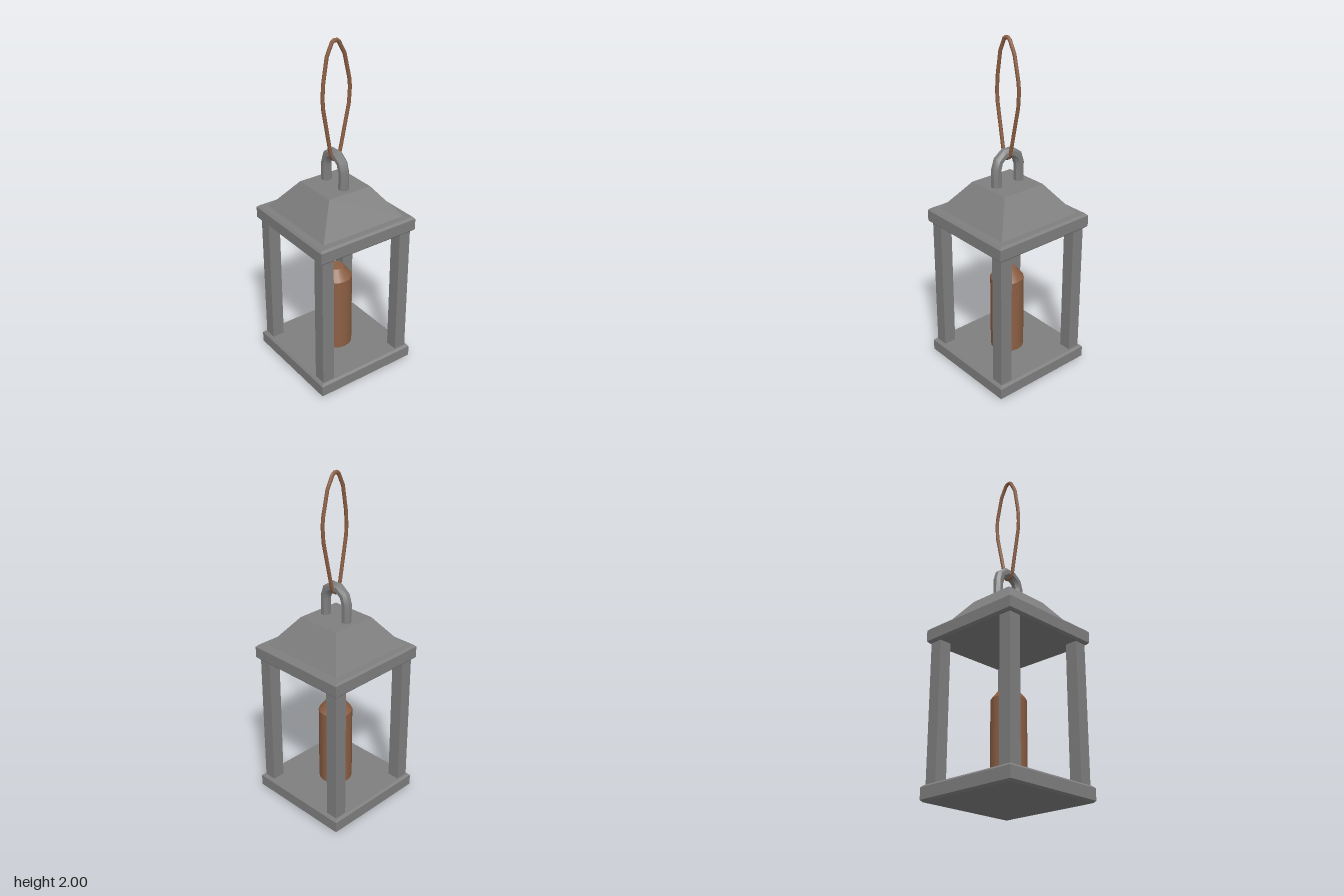
import * as THREE from 'three';

const GREY = 0x7f7f7f;
const metal = new THREE.MeshStandardMaterial({ color: GREY, flatShading: true });
const smoothMetal = new THREE.MeshStandardMaterial({ color: GREY });
const brown = new THREE.MeshStandardMaterial({ color: 0x8c5f44 });

function add(parent, name, geometry, material, x = 0, y = 0, z = 0) {
  const mesh = new THREE.Mesh(geometry, material);
  mesh.name = name;
  mesh.position.set(x, y, z);
  parent.add(mesh);
  return mesh;
}

// Square solid from a profile of [half width, height], closed top and bottom
function squareSolid(profile) {
  const pts = [[0, profile[0][1]], ...profile, [0, profile.at(-1)[1]]];
  return new THREE.LatheGeometry(
    pts.map(([w, y]) => new THREE.Vector2(w * Math.SQRT2, y)), 4, Math.PI / 4);
}

// Slab with bevelled upper and lower rims
function slab(half, height, bevel) {
  return squareSolid([[half - bevel, 0], [half, bevel], [half, height - bevel], [half - bevel, height]]);
}

// Eight-sided rod along a flat path in the xy plane, mitred at each bend.
// A faceted rod keeps its long edges sharp but is smooth along its length.
function rod(path, radius, { closed = false, faceted = false }) {
  const sides = 8;
  const pts = path.map(([x, y]) => new THREE.Vector2(x, y));
  const n = pts.length;
  const step = faceted ? 2 : 1;
  const columns = sides * step;
  const positions = [], index = [];
  for (let i = 0; i < n; i++) {
    const prev = closed ? pts[(i + n - 1) % n] : pts[Math.max(i - 1, 0)];
    const next = closed ? pts[(i + 1) % n] : pts[Math.min(i + 1, n - 1)];
    let d1 = pts[i].clone().sub(prev), d2 = next.clone().sub(pts[i]);
    if (d1.length() === 0) d1 = d2.clone();
    if (d2.length() === 0) d2 = d1.clone();
    d1.normalize();
    d2.normalize();
    const t = d1.clone().add(d2).normalize();
    const stretch = 1 / t.dot(d1);
    for (let j = 0; j < columns; j++) {
      const corner = faceted ? Math.ceil(j / 2) : j;
      const a = (corner + 0.5) / sides * Math.PI * 2;
      const out = Math.cos(a) * radius * stretch;
      positions.push(pts[i].x - t.y * out, pts[i].y + t.x * out, Math.sin(a) * radius);
    }
  }
  for (let i = 0; i < (closed ? n : n - 1); i++) {
    for (let j = 0; j < columns; j += step) {
      const k = (j + 1) % columns, m = (i + 1) % n;
      const a = i * columns + j, b = i * columns + k, c = m * columns + j, d = m * columns + k;
      index.push(a, b, c, b, d, c);
    }
  }
  const geometry = new THREE.BufferGeometry();
  geometry.setAttribute('position', new THREE.Float32BufferAttribute(positions, 3));
  geometry.setIndex(index);
  geometry.computeVertexNormals();
  return geometry;
}

export function createModel() {
  const lantern = new THREE.Group();
  lantern.name = 'lantern';

  // Frame: two slabs joined by four corner posts
  add(lantern, 'base', slab(0.325, 0.09, 0.012), metal);
  add(lantern, 'topPlate', slab(0.325, 0.09, 0.012), metal, 0, 0.9, 0);
  const postGeometry = new THREE.BoxGeometry(0.075, 0.82, 0.075);
  for (const [x, xName] of [[1, 'Left'], [-1, 'Right']]) {
    for (const [z, zName] of [[1, 'front'], [-1, 'back']]) {
      add(lantern, `${zName}${xName}Post`, postGeometry, metal, x * 0.268, 0.495, z * 0.268);
    }
  }

  // Sloping roof with a flat top
  add(lantern, 'roof', squareSolid([[0.278, 0.985], [0.14, 1.165]]), metal);

  // Hanging ring: two legs and a five-segment arch, octagonal bar
  const arch = [[0.082, 1.15]];
  for (let i = 0; i <= 5; i++) {
    const a = i / 5 * Math.PI;
    arch.push([0.082 * Math.cos(a), 1.267 + 0.083 * Math.sin(a)]);
  }
  arch.push([-0.082, 1.15]);
  add(lantern, 'ring', rod(arch, 0.0303, { faceted: true }), smoothMetal, -0.001, 0, 0);

  // Cord loop threaded through the ring, listed counter-clockwise from the bottom
  const loop = [
    [0, 1.315], [0.018, 1.325], [0.032, 1.36], [0.08, 1.63], [0.083, 1.69], [0.078, 1.77], [0.055, 1.91],
    [0.023, 1.98], [0.01, 1.99], [-0.01, 1.99], [-0.023, 1.98], [-0.06, 1.91],
    [-0.092, 1.77], [-0.097, 1.72], [-0.091, 1.63], [-0.032, 1.36], [-0.018, 1.325],
  ];
  const cord = add(lantern, 'hangingLoop', rod(loop, 0.011, { closed: true }), brown, 0.003, 0, 0);
  cord.rotation.y = -Math.PI / 2;

  // Candle with a tapered shoulder
  const candle = new THREE.Group();
  candle.name = 'candle';
  candle.position.x = 0.004;
  lantern.add(candle);
  add(candle, 'candleBody', new THREE.CylinderGeometry(0.1, 0.1, 0.477, 16), brown, 0, 0.3235, 0);
  add(candle, 'candleShoulder', new THREE.CylinderGeometry(0.05, 0.1, 0.063, 16), brown, 0, 0.5935, 0);

  return lantern;
}
